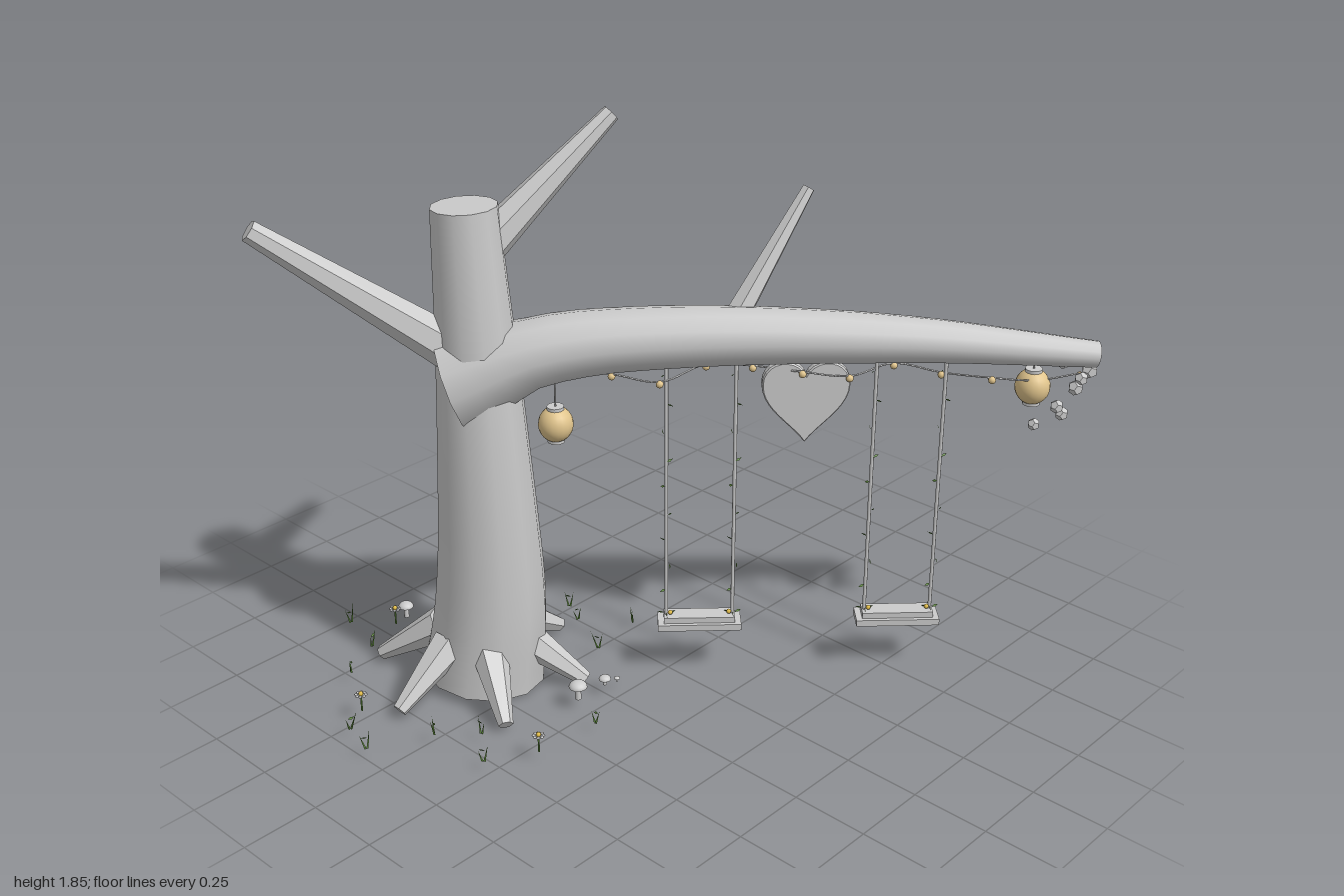
import * as THREE from 'three';

const mat = (name, color) => {
  const m = new THREE.MeshStandardMaterial({ color });
  m.name = name;
  return m;
};
const V = (x, y, z) => new THREE.Vector3(x, y, z);

export function createModel() {
  const root = new THREE.Group();
  root.name = 'swingTree';
  const wood = mat('pale grey', 0xcccccc);
  const tan = mat('lantern tan', 0xe0c48c);
  const green = mat('leaf green', 0x5f8a3c);
  const yellow = mat('flower yellow', 0xe2bd48);
  green.side = THREE.DoubleSide;

  const add = (name, geo, m, parent = root, x = 0, y = 0, z = 0) => {
    const mesh = new THREE.Mesh(geo, m);
    mesh.name = name;
    mesh.position.set(x, y, z);
    parent.add(mesh);
    return mesh;
  };
  const group = (name, x = 0, y = 0, z = 0, ry = 0) => {
    const g = new THREE.Group();
    g.name = name;
    g.position.set(x, y, z);
    g.rotation.y = ry;
    root.add(g);
    return g;
  };
  let seed = 7;
  const rand = () => (seed = (seed * 16807) % 2147483647) / 2147483647;

  // Tapered smooth tube with flat end caps
  const taperedTube = (name, pts, radii, sides, n = 24) => {
    const curve = new THREE.CatmullRomCurve3(pts);
    const geo = new THREE.TubeGeometry(curve, n, 1, sides);
    const p = geo.attributes.position, v = V(0, 0, 0);
    const ends = [[], []];
    for (let i = 0; i <= n; i++) {
      const c = curve.getPointAt(i / n);
      const f = (i / n) * (radii.length - 1), k = Math.min(Math.floor(f), radii.length - 2);
      const r = THREE.MathUtils.lerp(radii[k], radii[k + 1], f - k);
      for (let j = 0; j <= sides; j++) {
        const id = i * (sides + 1) + j;
        v.fromBufferAttribute(p, id).sub(c).multiplyScalar(r).add(c);
        p.setXYZ(id, v.x, v.y, v.z);
        if (i === 0) ends[0].push(v.clone());
        if (i === n) ends[1].push(v.clone());
      }
    }
    add(name, geo, wood);
    ends.forEach((ring, e) => {
      const c = curve.getPointAt(e), out = curve.getTangentAt(e).multiplyScalar(e ? 1 : -1);
      const tris = [];
      for (let j = 0; j < sides; j++) {
        const a = ring[j], b = ring[j + 1];
        const facing = a.clone().sub(c).cross(b.clone().sub(c)).dot(out) > 0;
        tris.push(c, facing ? a : b, facing ? b : a);
      }
      const cap = new THREE.BufferGeometry().setFromPoints(tris);
      cap.computeVertexNormals();
      add(name + 'Cap', cap, wood);
    });
  };

  // Straight rod between two points, faceted when flat is true
  const rod = (name, a, b, r0, r1, sides, m = wood, parent = root, flat = true) => {
    const d = b.clone().sub(a);
    let geo = new THREE.CylinderGeometry(r1, r0, d.length(), sides);
    if (flat) {
      geo = geo.toNonIndexed();
      geo.computeVertexNormals();
    }
    const mesh = add(name, geo, m, parent);
    mesh.position.copy(a).addScaledVector(d, 0.5);
    mesh.quaternion.setFromUnitVectors(V(0, 1, 0), d.normalize());
    return mesh;
  };

  // Trunk and the long arching branch
  taperedTube('trunk',
    [V(-0.43, 0.028, -0.42), V(-0.412, 0.3, -0.395), V(-0.415, 0.9, -0.395), V(-0.415, 1.61, -0.43)],
    [0.2, 0.182, 0.162, 0.146, 0.13, 0.115, 0.102], 12);
  taperedTube('mainBranch',
    [V(-0.47, 1.06, -0.45), V(-0.27, 1.16, -0.25), V(0, 1.195, 0.02), V(0.5, 1.172, 0.5), V(0.955, 1.1, 0.915)],
    [0.165, 0.11, 0.1, 0.095, 0.088, 0.08, 0.068, 0.055, 0.042], 12);

  // Bare side branches
  rod('upperBranch', V(-0.42, 1.43, -0.42), V(0, 1.84, -0.23), 0.07, 0.028, 7);
  rod('backBranch', V(-0.43, 1.13, -0.42), V(-0.94, 1.59, -0.76), 0.075, 0.034, 7);
  rod('twigBranch', V(0.15, 1.23, 0.13), V(0.41, 1.605, 0.195), 0.042, 0.02, 6);

  // Six roots around the base
  for (let i = 0; i < 6; i++) {
    const a = (i * Math.PI) / 3, c = Math.cos(a), s = Math.sin(a);
    rod('root', V(-0.44 + c * 0.13, 0.18, -0.42 + s * 0.13), V(-0.44 + c * 0.35, 0.035, -0.42 + s * 0.35), 0.062, 0.024, 6);
  }

  // Small pointed leaf
  const leafGeo = new THREE.CircleGeometry(0.011, 4);
  leafGeo.scale(1, 0.4, 1);
  const leaf = (parent, x, y, z, ry) => {
    const l = add('leaf', leafGeo, green, parent, x, y, z);
    l.rotation.set(-0.5, ry, 0.4, 'YXZ');
  };

  // Swings, their seats running along the branch
  for (const [x, z] of [[0.0675, 0.075], [0.53, 0.525]]) {
    const g = group('swing', x, 0, z, -Math.PI / 4);
    add('seat', new THREE.BoxGeometry(0.27, 0.022, 0.085), wood, g, 0, 0.184, 0);
    add('seatCushion', new THREE.BoxGeometry(0.23, 0.02, 0.06), wood, g, 0, 0.205, 0);
    for (const s of [-1, 1]) {
      const rx = s * 0.107;
      rod('rope', V(rx, 0.18, 0), V(rx, 1.14, 0), 0.006, 0.006, 8, wood, g, false);
      for (let i = 0; i < 9; i++) {
        const side = i % 2 ? 1 : -1;
        leaf(g, rx + side * 0.011, 0.3 + i * 0.095, side * 0.004, i * 1.3);
      }
      for (let i = 0; i < 4; i++) leaf(g, rx + Math.cos(i * 1.57) * 0.018, 0.222, Math.sin(i * 1.57) * 0.018, i * 1.57);
      add('seatFlower', new THREE.SphereGeometry(0.008, 8, 6), yellow, g, rx - s * 0.012, 0.226, 0.01);
    }
  }

  // Hanging heart sign
  const heart = new THREE.Shape();
  heart.moveTo(0, -0.13);
  heart.bezierCurveTo(-0.04, -0.07, -0.132, -0.02, -0.132, 0.06);
  heart.bezierCurveTo(-0.132, 0.14, -0.03, 0.155, 0, 0.085);
  heart.bezierCurveTo(0.03, 0.155, 0.132, 0.14, 0.132, 0.06);
  heart.bezierCurveTo(0.132, -0.02, 0.04, -0.07, 0, -0.13);
  const heartGeo = new THREE.ExtrudeGeometry(heart, {
    depth: 0.024, bevelThickness: 0.005, bevelSize: 0.004, bevelSegments: 1, curveSegments: 10 });
  heartGeo.translate(0, 0, -0.012);
  const sign = group('heartSign', 0.29, 0.975, 0.305, -Math.PI / 4);
  add('heart', heartGeo, wood, sign);
  for (const s of [-1, 1]) rod('signCord', V(s * 0.07, 0.1, 0), V(s * 0.07, 0.16, 0), 0.003, 0.003, 6, wood, sign);

  // Round lanterns on strings
  for (const [x, y, z, top] of [[-0.255, 0.91, -0.235, 0.2], [0.81, 1, 0.785, 0.11]]) {
    const g = group('lantern', x, y, z);
    add('lanternGlobe', new THREE.SphereGeometry(0.055, 20, 14), tan, g).scale.y = 1.05;
    for (const s of [-1, 1]) add('lanternCap', new THREE.CylinderGeometry(0.027, 0.027, 0.012, 14), wood, g, 0, s * 0.054, 0);
    rod('lanternString', V(0, 0.05, 0), V(0, top, 0), 0.003, 0.003, 6, wood, g);
  }

  // String of bulbs winding under the branch
  const garland = [];
  for (let i = 0; i <= 12; i++) {
    const t = i / 12, x = -0.33 + t * 1.23, w = 0.05 * Math.sin(i * 1.7) * (1 - 0.5 * t);
    const y = 1.065 + 0.035 * Math.sin(t * Math.PI) - (i % 2) * 0.015 - 0.03 * t;
    garland.push(V(x + w, y, x + 0.005 - w));
  }
  add('garlandCord', new THREE.TubeGeometry(new THREE.CatmullRomCurve3(garland), 90, 0.003, 5), wood);
  garland.forEach((p) => add('garlandBulb', new THREE.SphereGeometry(0.012, 10, 8), tan, root, p.x, p.y - 0.008, p.z));

  // Faceted cluster hanging from the branch tip
  for (const [x, y, z, r] of [[0.89, 1, 0.89, 0.025], [0.965, 1.035, 0.89, 0.027], [0.865, 0.93, 0.845, 0.022],
    [0.89, 0.898, 0.85, 0.022], [0.83, 0.863, 0.79, 0.02], [0.91, 1.065, 0.83, 0.025], [0.9, 1.03, 0.9, 0.022]]) {
    add('tipCluster', new THREE.DodecahedronGeometry(r), wood, root, x, y, z);
  }

  // Mushrooms
  for (const [x, z, h, r] of [[-0.365, -0.05, 0.085, 0.03], [-0.25, -0.045, 0.06, 0.02], [-0.42, -0.83, 0.08, 0.026], [-0.21, -0.03, 0.05, 0.01]]) {
    const g = group('mushroom', x, 0, z);
    rod('mushroomStem', V(0, 0.04, 0), V(0, h, 0), r * 0.35, r * 0.28, 8, wood, g, false);
    add('mushroomCap', new THREE.SphereGeometry(r, 14, 6, 0, Math.PI * 2, 0, Math.PI / 2), wood, g, 0, h, 0).scale.y = 0.7;
    add('mushroomUnderside', new THREE.CircleGeometry(r, 14), wood, g, 0, h, 0).rotation.x = Math.PI / 2;
  }

  // Daisies
  for (const [x, z] of [[-0.875, -0.5], [-0.475, -0.82], [-0.645, 0.065]]) {
    const g = group('daisy', x, 0, z);
    rod('daisyStem', V(0, 0.04, 0), V(0, 0.1, 0), 0.003, 0.003, 5, green, g);
    for (let i = 0; i < 8; i++) {
      const a = (i * Math.PI) / 4;
      add('petal', new THREE.SphereGeometry(0.009, 6, 4), wood, g, Math.cos(a) * 0.015, 0.1, Math.sin(a) * 0.015).scale.set(0.7, 0.3, 0.7);
    }
    add('daisyCentre', new THREE.SphereGeometry(0.008, 8, 6), yellow, g, 0, 0.103, 0);
  }

  // Grass tufts scattered round the trunk
  const bladeGeo = new THREE.ConeGeometry(0.004, 0.06, 3);
  bladeGeo.translate(0, 0.03, 0);
  for (const [x, z] of [[-0.62, -0.77], [-0.2, -0.81], [-0.01, -0.7], [-0.76, -0.7], [-0.965, -0.45], [-0.8, -0.24],
    [-0.79, -0.02], [-0.7, -0.13], [-0.42, 0.08], [-0.03, -0.39], [0.01, -0.47], [0.08, -0.24], [-0.11, -0.21],
    [-0.99, -0.33], [-0.57, -0.94]]) {
    const g = group('grassTuft', x, 0.04, z, rand() * 6);
    for (let i = 0; i < 2; i++) {
      const b = add('grassBlade', bladeGeo, green, g, i * 0.006, 0, 0);
      b.rotation.set((rand() - 0.5) * 0.5, 0, 0.2 - i * 0.5);
      b.scale.y = 0.6 + rand() * 0.6;
    }
    leaf(g, 0.008, 0.04, 0, 0);
  }
  return root;
}
